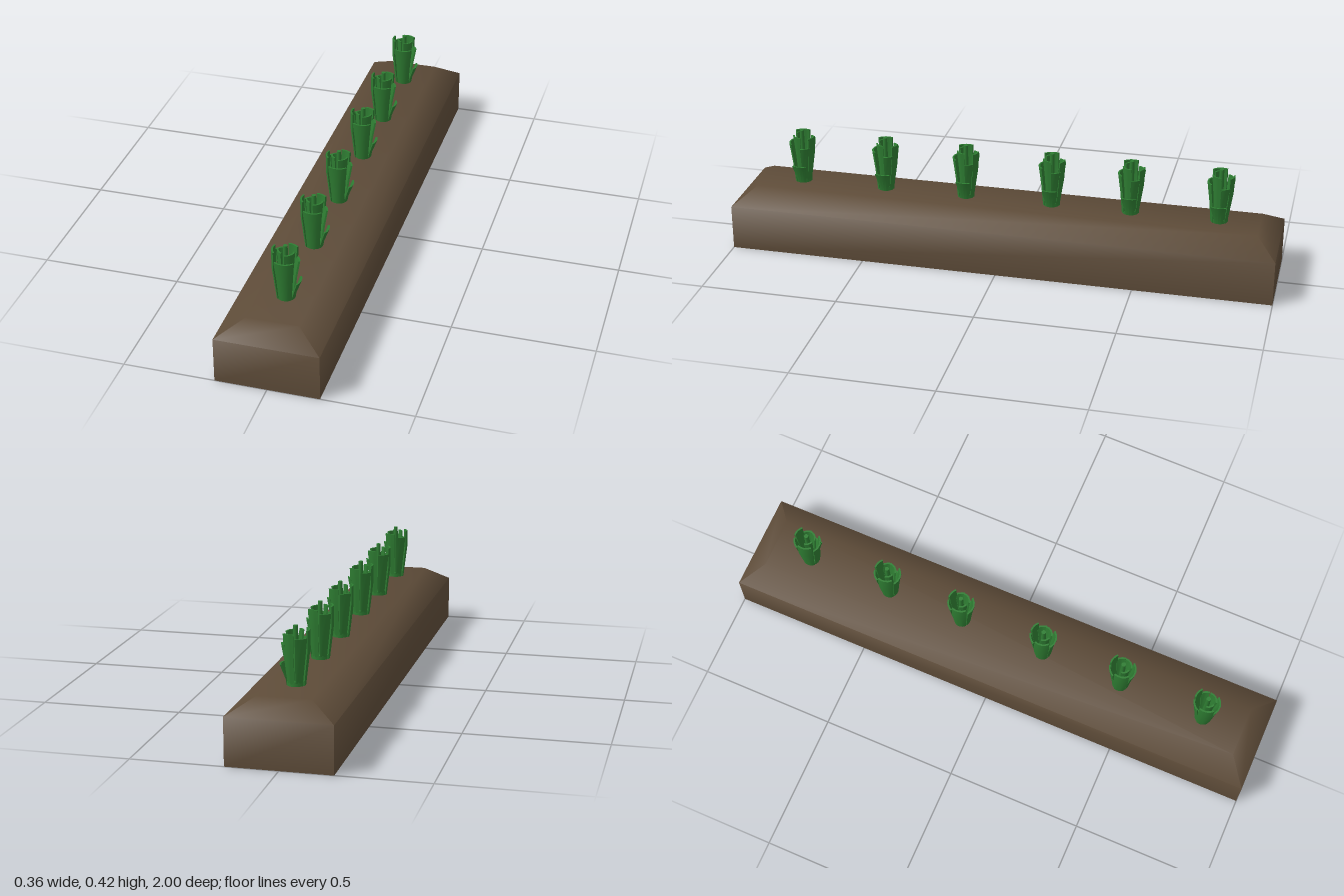
import * as THREE from 'three';
import { toCreasedNormals } from 'three/addons/utils/BufferGeometryUtils.js';

const soilMat = new THREE.MeshStandardMaterial({ color: 0x5d4b38 });
const leafMat = new THREE.MeshStandardMaterial({ color: 0x2e7d32 });

// Skins a stack of equal closed loops of [x, y, z] points (counter-clockwise from above) and caps both ends
function loft(loops, crease, cap) {
  const n = loops[0].length, index = [];
  for (let k = 0; k < loops.length - 1; k++)
    for (let i = 0; i < n; i++) {
      const j = (i + 1) % n, a = k * n + i, b = k * n + j;
      index.push(a, b, b + n, a, b + n, a + n);
    }
  const last = (loops.length - 1) * n;
  for (const [a, b, c] of cap) index.push(c, b, a, last + a, last + b, last + c);
  const geo = new THREE.BufferGeometry();
  geo.setAttribute('position', new THREE.Float32BufferAttribute(loops.flat(2), 3));
  geo.setIndex(index);
  return toCreasedNormals(geo, crease);
}

// Leaf: a thin curved blade following rings of [height, radius] around the stem
const SEG = 4, THICK = 0.006;
function leafGeometry({ angle, spread, rings }) {
  const loops = rings.map(([y, r]) => {
    const outer = [], inner = [];
    for (let i = 0; i <= SEG; i++) {
      const a = angle + spread * (2 * i / SEG - 1);
      outer.push([r * Math.sin(a), y, r * Math.cos(a)]);
      inner.unshift([(r - THICK) * Math.sin(a), y, (r - THICK) * Math.cos(a)]);
    }
    return [...outer, ...inner];
  });
  const cap = [], m = 2 * SEG + 1;
  for (let i = 0; i < SEG; i++) cap.push([i, i + 1, m - i - 1], [i, m - i - 1, m - i]);
  return loft(loops, 0.5, cap);
}

const leaves = [
  { angle: 0.12, spread: 0.76, rings: [[0.215, 0.031], [0.3, 0.039], [0.374, 0.049]] },
  { angle: 1.55, spread: 0.55, rings: [[0.215, 0.03], [0.24, 0.034], [0.292, 0.054]] },
  { angle: 2.1, spread: 0.4, rings: [[0.215, 0.027], [0.3, 0.037], [0.362, 0.048]] },
  { angle: 2.8, spread: 0.42, rings: [[0.215, 0.028], [0.33, 0.045], [0.4, 0.049]] },
  { angle: -2.5, spread: 0.45, rings: [[0.215, 0.028], [0.33, 0.043], [0.385, 0.05]] },
  { angle: -1.35, spread: 0.6, rings: [[0.215, 0.032], [0.34, 0.047], [0.407, 0.047]] },
  { angle: 0.9, spread: 0.75, rings: [[0.215, 0.018], [0.33, 0.026], [0.4, 0.033]] },
  { angle: -0.9, spread: 0.6, rings: [[0.215, 0.018], [0.33, 0.024], [0.405, 0.028]] },
];

export function createModel() {
  const model = new THREE.Group();
  model.name = 'plantedBed';

  // Soil bed with a bevelled top
  const rect = (x, y, z) => [[-x, y, z], [x, y, z], [x, y, -z], [-x, y, -z]];
  const bed = new THREE.Mesh(loft(
    [rect(0.181, 0, 1), rect(0.181, 0.166, 1), rect(0.091, 0.221, 0.926)],
    1.1, [[0, 1, 2], [0, 2, 3]]), soilMat);
  bed.name = 'soilBed';
  model.add(bed);

  // Shared plant parts
  const stemGeo = new THREE.CylinderGeometry(0.031, 0.031, 0.035, 12).translate(0, 0.2185, 0);
  const coreGeo = new THREE.CylinderGeometry(0.008, 0.012, 0.2, 8).translate(0, 0.321, 0);
  const leafGeos = leaves.map(leafGeometry);

  // Row of seedlings
  [-0.78, -0.46, -0.17, 0.15, 0.455, 0.775].forEach((z, i) => {
    const plant = new THREE.Group();
    plant.name = `seedling${i + 1}`;
    const add = (geo, name) => {
      const mesh = new THREE.Mesh(geo, leafMat);
      mesh.name = name;
      plant.add(mesh);
    };
    add(stemGeo, 'stem');
    add(coreGeo, 'centreShoot');
    leafGeos.forEach((geo, k) => add(geo, `leaf${k + 1}`));
    plant.position.z = z;
    model.add(plant);
  });
  return model;
}
